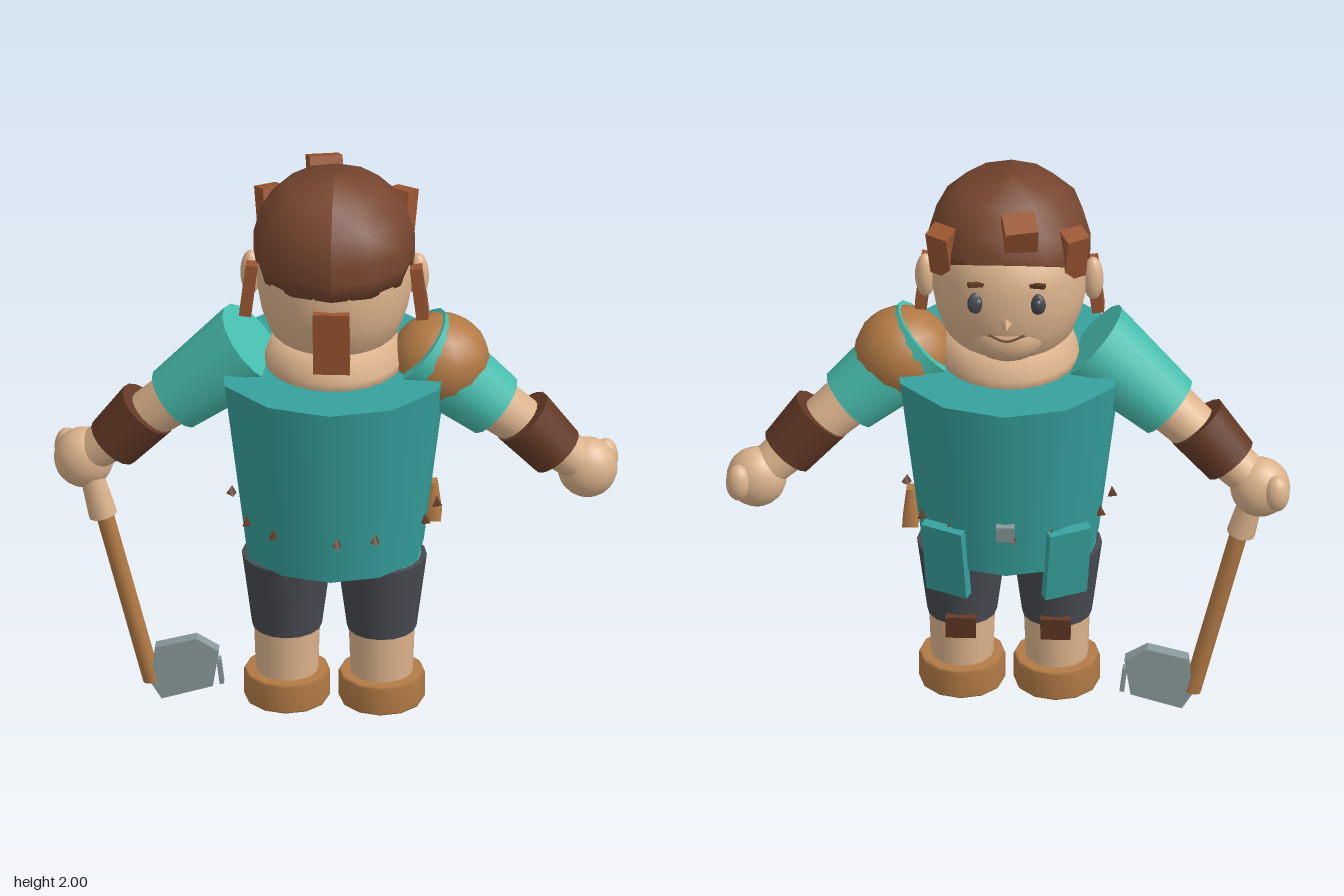
import * as THREE from 'three';

const mat = (name, color) => {
  const m = new THREE.MeshStandardMaterial({ color });
  m.name = name;
  return m;
};

export function createModel() {
  const teal = mat('tunic teal', 0x36a09c);
  const sleeveTeal = mat('sleeve teal', 0x48beae);
  const skin = mat('skin', 0xdcb38c);
  const hairBrown = mat('hair brown', 0x77462f);
  const tuftBrown = mat('tuft brown', 0x9a5531);
  const darkLeather = mat('dark leather', 0x633926);
  const leather = mat('tan leather', 0xb27a45);
  const charcoal = mat('charcoal', 0x474a50);
  const steel = mat('steel', 0x889798);

  const model = new THREE.Group();
  model.name = 'figure';
  const V = (p) => new THREE.Vector3(...p);
  const add = (name, geo, material, pos = [0, 0, 0], rot = [0, 0, 0]) => {
    const m = new THREE.Mesh(geo, material);
    m.name = name;
    m.position.set(...pos);
    m.rotation.set(...rot);
    model.add(m);
    return m;
  };
  const box = (name, size, material, pos, rot) =>
    add(name, new THREE.BoxGeometry(...size), material, pos, rot);
  const ball = (name, radii, material, pos, rot, w = 20, h = 14) =>
    add(name, new THREE.SphereGeometry(1, w, h).scale(...radii), material, pos, rot);
  // Tapered cylinder from point a to point b
  const limb = (name, a, b, ra, rb, material, sides = 20) => {
    const d = V(b).sub(V(a));
    const m = add(name, new THREE.CylinderGeometry(rb, ra, d.length(), sides), material);
    m.position.copy(V(a)).addScaledVector(d, 0.5);
    m.quaternion.setFromUnitVectors(new THREE.Vector3(0, 1, 0), d.normalize());
    return m;
  };
  const lathe = (pts, sides) =>
    new THREE.LatheGeometry(pts.map((p) => new THREE.Vector2(...p)), sides);

  // Tunic: flared drum, slightly narrowed at the sides
  const drum = new THREE.CylinderGeometry(0.41, 0.322, 0.668, 12);
  const dp = drum.attributes.position;
  for (let i = 0; i < dp.count; i++) {
    if (Math.abs(dp.getZ(i)) < 0.01) dp.setX(i, dp.getX(i) * 0.92);
  }
  add('tunic', drum, teal, [0, 0.979, 0]);

  // Belt points showing around the tunic
  for (let i = 0; i < 12; i++) {
    const a = ((i + 0.5) / 12) * Math.PI * 2;
    for (const s of [-0.1, 0.1]) {
      const r = 0.335;
      const x = Math.sin(a) * r + Math.cos(a) * s * 0.65;
      const z = Math.cos(a) * r - Math.sin(a) * s * 0.65;
      if (i % 2) continue;
      add('beltStud', new THREE.ConeGeometry(0.02, 0.035, 3), darkLeather, [x, 0.805, z], [0, a, 0]);
    }
  }

  // Apron flaps, buckle and side pouch
  for (const s of [-1, 1]) {
    const g = new THREE.BoxGeometry(0.15, 0.27, 0.035);
    g.rotateX(-0.15).rotateY(-s * 0.45);
    add('apronFlap', g, teal, [s * 0.2, 0.675, -0.268]);
  }
  box('buckle', [0.06, 0.06, 0.03], steel, [0, 0.83, -0.35], [-0.13, 0, 0]);
  const pouch = new THREE.CylinderGeometry(0.03, 0.064, 0.13, 4).rotateY(Math.PI / 4).scale(0.6, 1, 1);
  add('sidePouch', pouch, leather, [0.325, 0.765, -0.07]);

  // Legs
  for (const s of [-1, 1]) {
    const x = s * 0.157;
    add('thigh', new THREE.CylinderGeometry(0.13, 0.13, 0.12, 20), sleeveTeal, [x, 0.625, 0]);
    add('trouserLeg', new THREE.CylinderGeometry(0.15, 0.116, 0.265, 16), charcoal, [x, 0.458, 0]);
    add('shin', new THREE.CylinderGeometry(0.11, 0.103, 0.2, 20), skin, [x, 0.24, 0]);
    add('shoe', lathe([[0, 0.055], [0.138, 0.055], [0.143, 0.062], [0.143, 0.152], [0.136, 0.16], [0, 0.16]], 12),
      leather, [x, 0, 0]);
    box('kneePatch', [0.1, 0.085, 0.04], darkLeather, [x, 0.325, -0.11], [-0.15, 0, 0]);
  }

  // Arms
  for (const s of [-1, 1]) {
    limb('sleeve', [s * 0.27, 1.37, 0], [s * 0.53, 1.14, -0.03], 0.152, 0.115, sleeveTeal, 16);
    limb('forearm', [s * 0.5, 1.17, -0.025], [s * 0.8, 0.91, -0.09], 0.092, 0.07, skin);
    limb('cuff', [s * 0.622, 1.09, -0.045], [s * 0.735, 0.955, -0.06], 0.108, 0.096, darkLeather, 16);
    ball('hand', [0.1, 0.105, 0.085], skin, [s * 0.835, 0.877, -0.1]);
    ball('thumb', [0.042, 0.065, 0.042], skin, [s * 0.893, 0.887, -0.158]);
  }
  ball('shoulderPad', [0.165, 0.155, 0.155], leather, [0.35, 1.32, -0.01], [0, 0, 0], 16, 12);

  // Long-handled tool
  limb('toolGrip', [-0.815, 0.85, -0.075], [-0.77, 0.68, -0.07], 0.038, 0.048, skin, 14);
  limb('toolHandle', [-0.78, 0.74, -0.07], [-0.608, 0.065, -0.07], 0.03, 0.03, leather, 12);
  const blade = new THREE.Shape(
    [[-0.595, 0.195], [-0.46, 0.23], [-0.385, 0.185], [-0.405, 0.055], [-0.575, 0.005], [-0.615, 0.07]]
      .reverse().map((p) => new THREE.Vector2(...p)));
  add('toolBlade', new THREE.ExtrudeGeometry(blade, { depth: 0.045, bevelEnabled: false }), steel, [0, 0, -0.0925]);
  box('bladeSpur', [0.015, 0.09, 0.03], steel, [-0.381, 0.105, -0.07], [0, 0, 0.12]);

  // Neck and head
  add('neck', lathe([[0, 1.29], [0.232, 1.29], [0.23, 1.34], [0.2, 1.43], [0, 1.43]], 24), skin);
  const skull = lathe([[0, 1.38], [0.17, 1.39], [0.215, 1.44], [0.244, 1.52], [0.258, 1.6],
    [0.258, 1.7], [0.235, 1.8], [0.15, 1.88], [0, 1.9]], 28);
  add('head', skull, skin, [0, 0, -0.008]);
  ball('chin', [0.13, 0.1, 0.09], skin, [0, 1.5, -0.17]);
  for (const s of [-1, 1]) {
    ball('ear', [0.035, 0.08, 0.035], skin, [s * 0.278, 1.625, -0.02]);
    ball('eye', [0.032, 0.04, 0.018], charcoal, [s * 0.1, 1.655, -0.242], [0, s * 0.38, 0]);
    ball('eyeGlint', [0.007, 0.008, 0.004], steel, [s * 0.1 - 0.008, 1.67, -0.259], [0, 0, 0], 8, 6);
    box('eyebrow', [0.06, 0.014, 0.016], darkLeather, [s * 0.1, 1.728, -0.247], [0, s * 0.35, s * 0.15]);
    box('sideburn', [0.04, 0.19, 0.068], tuftBrown, [s * 0.283, 1.585, 0.012], [0, 0, s * 0.12]);
  }
  add('nose', new THREE.ConeGeometry(0.03, 0.08, 4), skin, [0, 1.59, -0.275], [-Math.PI / 2, 0, 0]);
  const smile = new THREE.CatmullRomCurve3([[-0.06, 1.535, -0.249], [0, 1.518, -0.262], [0.06, 1.535, -0.249]].map(V));
  add('mouth', new THREE.TubeGeometry(smile, 10, 0.004, 5), darkLeather);

  // Hair cap with a hairline that rises toward the face
  const cap = lathe([[0, 1.66], [0.15, 1.66], [0.258, 1.66], [0.268, 1.72], [0.268, 1.79],
    [0.242, 1.885], [0.165, 1.965], [0, 2]], 12);
  const cp = cap.attributes.position;
  for (let i = 0; i < cp.count; i++) {
    const z = cp.getZ(i);
    cp.setY(i, Math.max(cp.getY(i), 1.66 + Math.max(0, -z - 0.02) * 0.6));
    if (z < 0) cp.setZ(i, z * 0.95);
  }
  cap.computeVertexNormals();
  add('hair', cap, hairBrown);

  // Hair tufts and tail
  box('frontTuft', [0.11, 0.15, 0.09], tuftBrown, [-0.04, 1.89, -0.2], [-0.4, 0.2, 0.05]);
  box('rightTuft', [0.08, 0.18, 0.065], tuftBrown, [-0.215, 1.79, -0.135], [-0.3, 0.5, 0.1]);
  box('leftTuft', [0.08, 0.18, 0.065], tuftBrown, [0.215, 1.79, -0.135], [-0.3, -0.5, -0.1]);
  box('hairTail', [0.122, 0.24, 0.045], tuftBrown, [0, 1.5, 0.228], [0.13, 0, 0]);

  return model;
}
